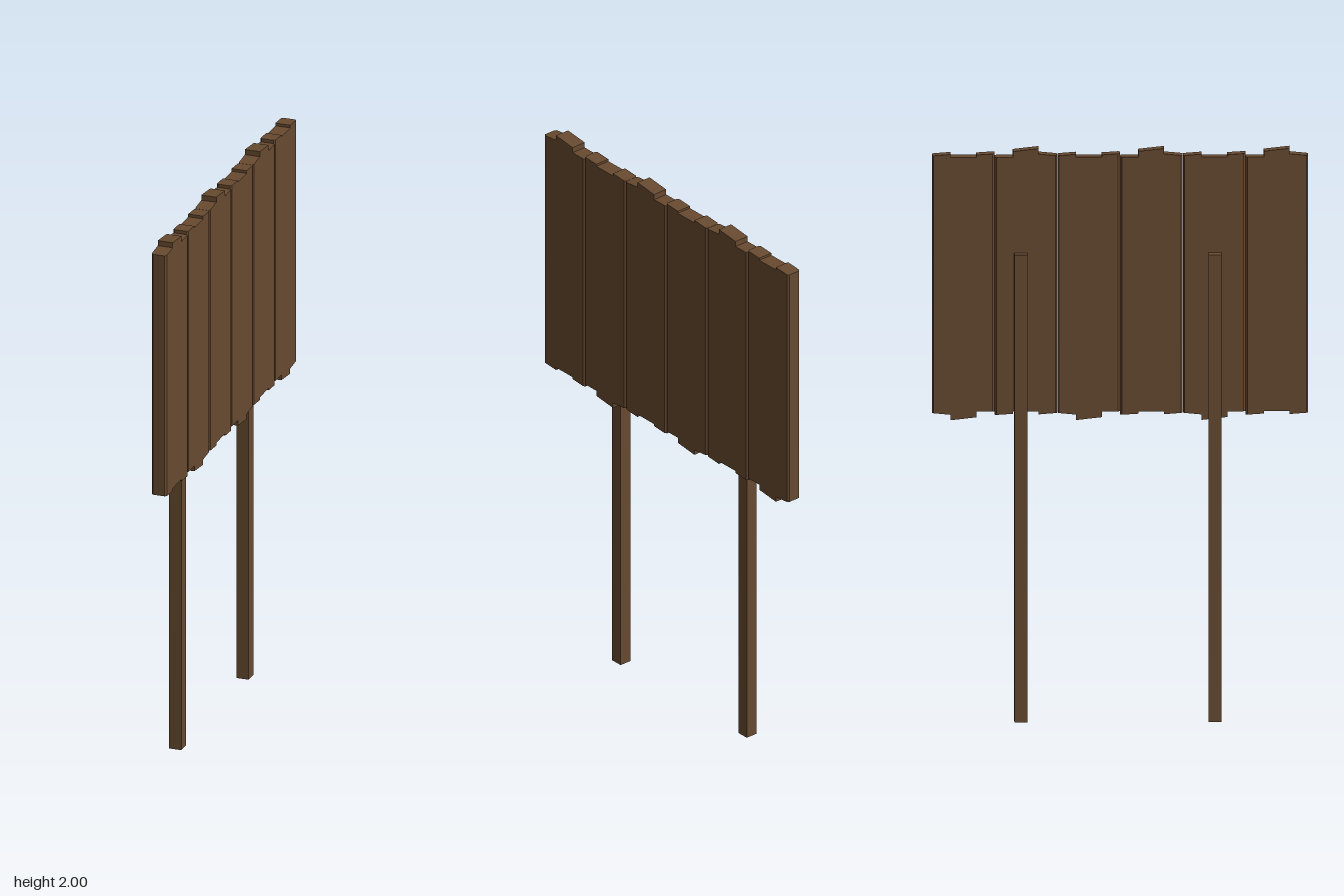
import * as THREE from 'three';

const PLANKS = 6;
const PITCH = 1.3 / PLANKS;
const WIDTH = PITCH - 0.001;
const BACK = -0.005, FRONT = 0.05, CHAMFER = 0.006;

// Ragged plank ends: [start, end, topStart, topEnd, bottomStart, bottomEnd], start/end along the width
const SEGMENTS = [
  [0, 0.3, 1.975, 1.981, 1.075, 1.07],
  [0.3, 0.71, 2.0, 1.99, 1.08, 1.08],
  [0.71, 1, 1.97, 1.97, 1.072, 1.068],
];

// One section of a plank: a plan outline raised upwards, with sloping top and bottom
function plankSection([a, b, topA, topB, lowA, lowB]) {
  const u0 = (a - 0.5) * WIDTH, u1 = (b - 0.5) * WIDTH;
  const c0 = a === 0 ? CHAMFER : 0, c1 = b === 1 ? CHAMFER : 0;
  const outline = [];
  const add = (x, u) => outline.push(new THREE.Vector2(x, u));
  add(BACK + c0, u0);
  add(FRONT - c0, u0);
  if (c0) add(FRONT, u0 + c0);
  if (c1) add(FRONT, u1 - c1);
  add(FRONT - c1, u1);
  add(BACK + c1, u1);
  if (c1) add(BACK, u1 - c1);
  if (c0) add(BACK, u0 + c0);
  const geo = new THREE.ExtrudeGeometry(new THREE.Shape(outline), { depth: 1, bevelEnabled: false });
  geo.rotateX(-Math.PI / 2);
  const p = geo.attributes.position;
  for (let i = 0; i < p.count; i++) {
    const t = (-p.getZ(i) - u0) / (u1 - u0);
    p.setY(i, p.getY(i) > 0.5 ? THREE.MathUtils.lerp(topA, topB, t) : THREE.MathUtils.lerp(lowA, lowB, t));
  }
  geo.computeVertexNormals();
  return geo;
}

export function createModel() {
  const model = new THREE.Group();
  model.name = 'woodenSign';
  const wood = new THREE.MeshStandardMaterial({ color: 0x684a30 });
  wood.name = 'brown wood';

  // Board of upright planks, every second one turned end over end
  const sections = SEGMENTS.map(plankSection);
  const board = new THREE.Group();
  board.name = 'board';
  for (let i = 0; i < PLANKS; i++) {
    const plank = new THREE.Group();
    plank.name = 'plank';
    for (const geo of sections) {
      const mesh = new THREE.Mesh(geo, wood);
      mesh.name = 'plankSection';
      plank.add(mesh);
    }
    plank.position.z = 0.65 - (i + 0.5) * PITCH;
    if (i % 2) {
      plank.rotation.x = Math.PI;
      plank.position.y = 3.05;
    }
    board.add(plank);
  }
  model.add(board);

  // Two posts behind the board
  const postGeo = new THREE.BoxGeometry(0.045, 1.635, 0.045);
  for (const z of [0.328, -0.343]) {
    const post = new THREE.Mesh(postGeo, wood);
    post.name = 'post';
    post.position.set(-0.0275, 0.8175, z);
    model.add(post);
  }
  return model;
}
